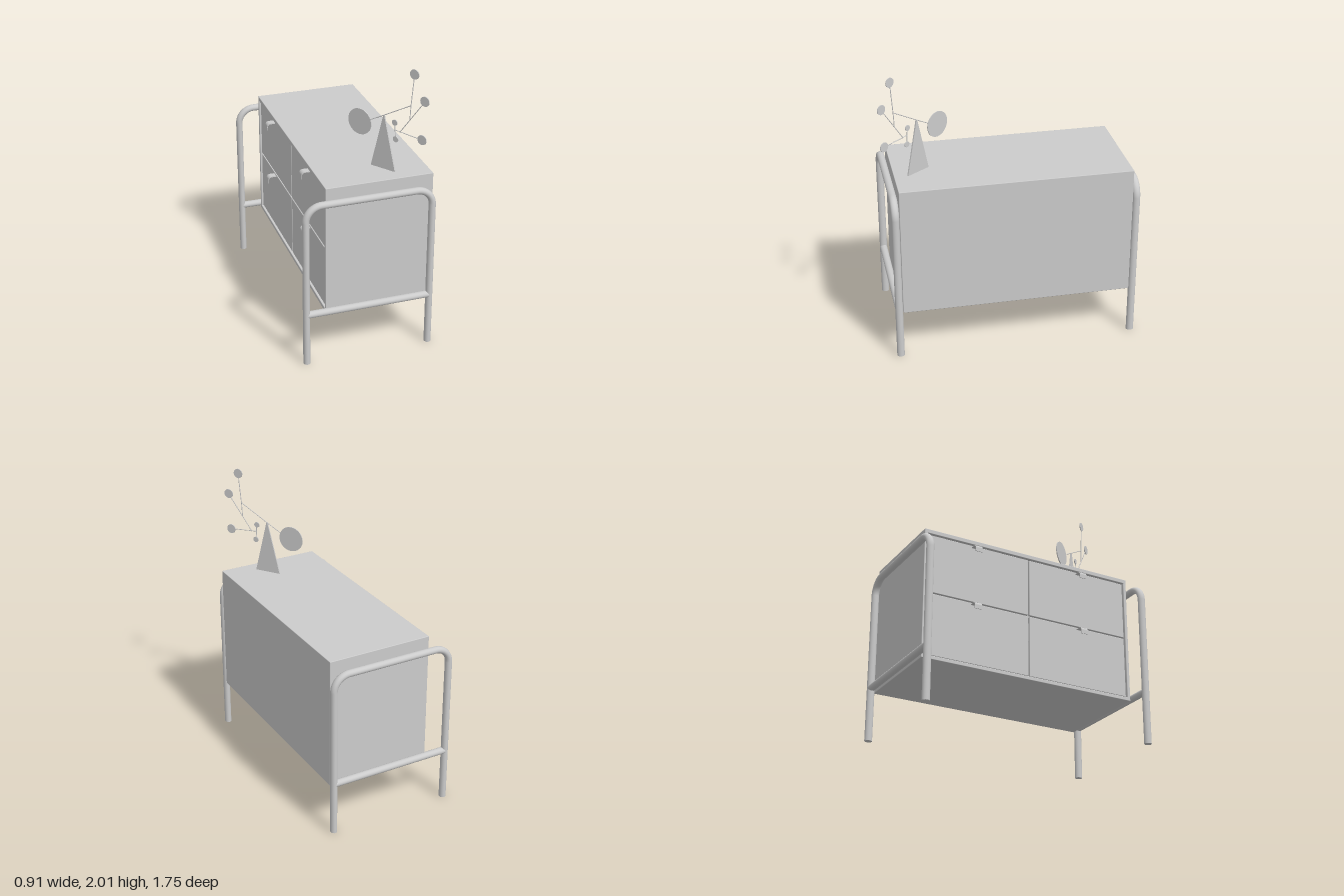
import * as THREE from 'three';
import { RoundedBoxGeometry } from 'three/addons/geometries/RoundedBoxGeometry.js';

const grey = new THREE.MeshStandardMaterial({ color: 0xcccccc });
const V = (x, y, z = 0) => new THREE.Vector3(x, y, z);

function add(parent, name, geometry) {
  const mesh = new THREE.Mesh(geometry, grey);
  mesh.name = name;
  parent.add(mesh);
  return mesh;
}

// Box given by its two extreme corners, with slightly softened edges
function panel(parent, name, [x0, y0, z0], [x1, y1, z1], r = 0.004) {
  const mesh = add(parent, name, new RoundedBoxGeometry(x1 - x0, y1 - y0, z1 - z0, 2, r));
  mesh.position.set((x0 + x1) / 2, (y0 + y1) / 2, (z0 + z1) / 2);
}

// Round rod between two points
function rod(parent, name, a, b, r, sides) {
  const mesh = add(parent, name, new THREE.CylinderGeometry(r, r, a.distanceTo(b), sides));
  mesh.position.copy(a).lerp(b, 0.5);
  mesh.quaternion.setFromUnitVectors(V(0, 1), b.clone().sub(a).normalize());
}

// Bent tube end frame: two legs, rounded arch and a lower rail
function endFrame(z) {
  const frame = new THREE.Group();
  frame.name = 'endFrame';
  const X = 0.432, top = 1.167, r = 0.0235, R = 0.11, k = R * 0.448;
  const arch = new THREE.CurvePath();
  arch.add(new THREE.CubicBezierCurve3(V(-X, top - R), V(-X, top - k), V(-X + k, top), V(-X + R, top)));
  arch.add(new THREE.LineCurve3(V(-X + R, top), V(X - R, top)));
  arch.add(new THREE.CubicBezierCurve3(V(X - R, top), V(X - k, top), V(X, top - k), V(X, top - R)));
  add(frame, 'arch', new THREE.TubeGeometry(arch, 72, r, 16));
  for (const s of [-1, 1]) rod(frame, 'leg', V(s * X, 0), V(s * X, top - R), r, 16);
  rod(frame, 'lowerRail', V(-X, 0.373), V(X, 0.373), r, 16);
  frame.scale.z = 1.12;
  frame.position.z = z;
  return frame;
}

// Open-fronted case with four drawers facing -x
function cabinet() {
  const g = new THREE.Group();
  g.name = 'cabinet';
  const x0 = -0.29, x1 = 0.445, y0 = 0.345, y1 = 1.265, z0 = -0.82, z1 = 0.766, t = 0.022;
  panel(g, 'topPanel', [x0, y1 - 0.03, z0], [x1, y1, z1]);
  panel(g, 'bottomPanel', [x0, y0, z0], [x1, y0 + 0.026, z1]);
  panel(g, 'frontSide', [x0, y0, z1 - t], [x1, y1 - 0.004, z1]);
  panel(g, 'rearSide', [x0, y0, z0], [x1, y1 - 0.004, z0 + t]);
  panel(g, 'backPanel', [x1 - t, y0, z0], [x1, y1 - 0.004, z1]);
  const zm = (z0 + z1) / 2, ym = 0.812;
  panel(g, 'shelf', [x0 + 0.03, ym - 0.01, z0 + t], [x1 - t, ym + 0.01, z1 - t]);
  panel(g, 'divider', [x0 + 0.03, y0 + 0.02, zm - 0.01], [x1 - t, y1 - 0.02, zm + 0.01]);

  // Hooked strip handle profile
  const h = new THREE.Shape();
  h.moveTo(0.03, 0);
  h.lineTo(-0.022, 0);
  h.absarc(-0.022, -0.025, 0.025, Math.PI / 2, Math.PI, false);
  h.lineTo(-0.047, -0.05);
  h.lineTo(-0.042, -0.05);
  h.lineTo(-0.042, -0.025);
  h.absarc(-0.022, -0.025, 0.02, Math.PI, Math.PI / 2, true);
  h.lineTo(0.03, -0.005);
  const handleGeo = new THREE.ExtrudeGeometry(h, { depth: 0.052, bevelEnabled: false, curveSegments: 8 });
  handleGeo.translate(0, 0, -0.026);

  const rows = [[0.377, 0.807, 0.797], [0.817, 1.23, 1.217]];
  const columns = [[z0 + t + 0.006, zm - 0.005, -0.441], [zm + 0.005, z1 - t - 0.006, 0.377]];
  for (const [bottom, top, handleY] of rows)
    for (const [a, b, handleZ] of columns) {
      panel(g, 'drawerFront', [x0 + 0.012, bottom, a], [x0 + 0.034, top, b], 0.003);
      add(g, 'drawerHandle', handleGeo).position.set(x0, handleY, handleZ);
    }
  return g;
}

// Flat balancing ornament, modelled in its own x-y plane
function ornament() {
  const g = new THREE.Group();
  g.name = 'balancingOrnament';
  const stand = new THREE.Shape([new THREE.Vector2(-0.094, 1.264), new THREE.Vector2(0.094, 1.264),
    new THREE.Vector2(0.003, 1.643), new THREE.Vector2(-0.003, 1.643)]);
  add(g, 'stand', new THREE.ExtrudeGeometry(stand, { depth: 0.01, bevelEnabled: false })).position.z = -0.005;

  const discs = [[-0.188, 1.549, 0.09], [0.221, 1.972, 0.033], [0.302, 1.809, 0.033],
    [0.29, 1.544, 0.033], [0.082, 1.61, 0.02], [0.092, 1.496, 0.02]];
  for (const [x, y, r] of discs) {
    const disc = add(g, 'disc', new THREE.CylinderGeometry(r, r, 0.006, 32));
    disc.rotation.x = Math.PI / 2;
    disc.position.set(x, y, 0);
  }

  const wires = [[-0.13, 1.568, 0, 1.641], [0, 1.641, 0.201, 1.757], [0.201, 1.757, 0.219, 1.95],
    [0.201, 1.757, 0.195, 1.655], [0.29, 1.79, 0.123, 1.554], [0.27, 1.546, 0.085, 1.56],
    [0.084, 1.6, 0.09, 1.505]];
  for (const [ax, ay, bx, by] of wires) rod(g, 'wire', V(ax, ay), V(bx, by), 0.0028, 8);

  g.position.set(0.16, 0, 0.597);
  g.rotation.y = -Math.atan2(0.815, 0.579);
  return g;
}

export function createModel() {
  const model = new THREE.Group();
  model.name = 'chestOfDrawers';
  model.add(cabinet(), endFrame(0.793), endFrame(-0.847), ornament());
  return model;
}
